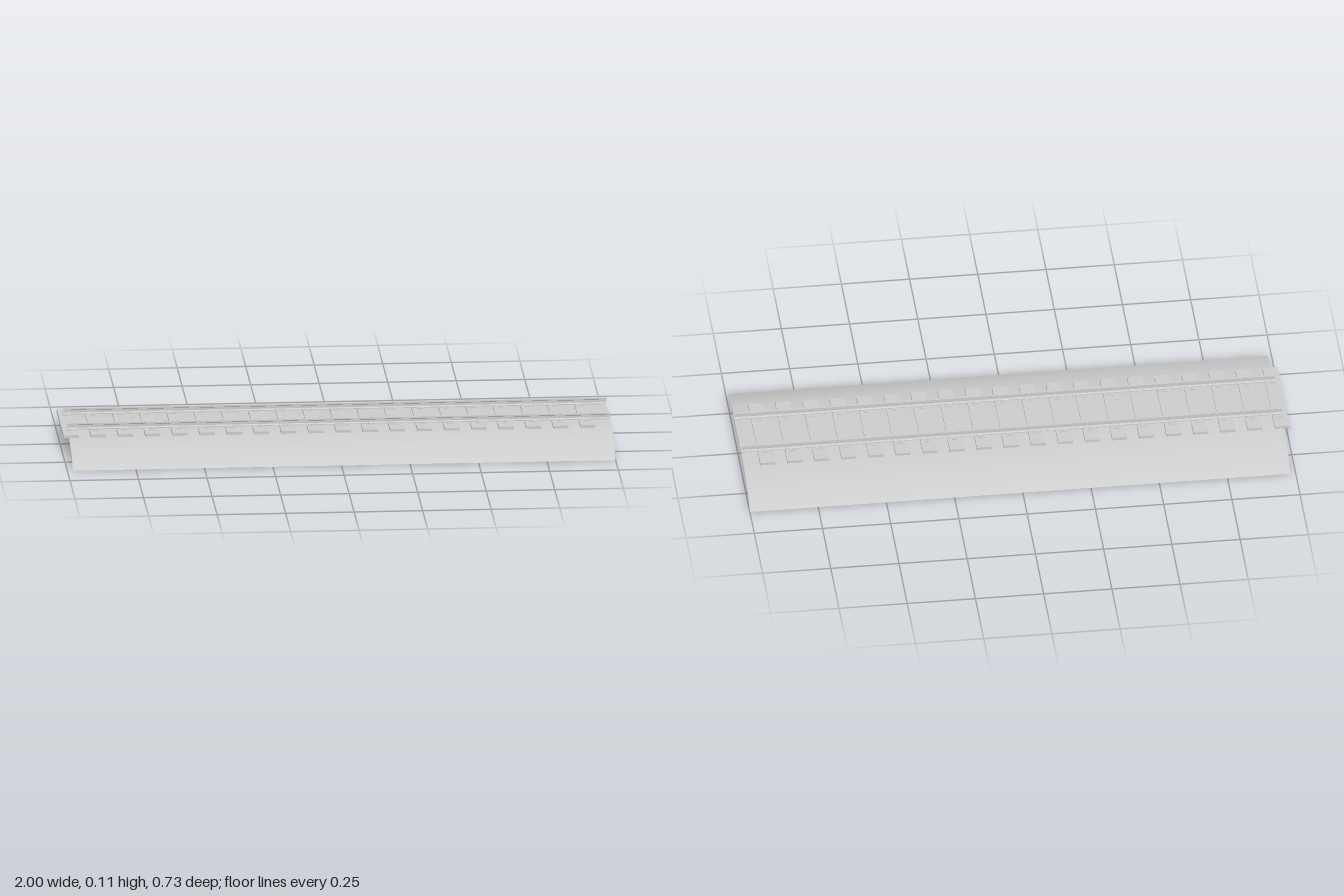
import * as THREE from 'three';

const material = new THREE.MeshStandardMaterial({ color: 0xcccccc, side: THREE.DoubleSide });
const X0 = -0.98, X1 = 1.0;
const SLEEPERS = 20, SLEEPER_WIDTH = 0.055, SLEEPER_TOP = 0.083;
const STEP = (1.94 - SLEEPER_WIDTH) / (SLEEPERS - 1);
const RAIL_Z = 0.1025;

// Sweeps a [z, y] profile along x, leaving both ends open
function sweep(profile, smooth) {
  const positions = [], index = [];
  profile.forEach(([z, y], i) => {
    positions.push(X0, y, z, X1, y, z);
    if (i < profile.length - 1) {
      const a = i * 2;
      index.push(a, a + 1, a + 3, a, a + 3, a + 2);
    }
  });
  let geometry = new THREE.BufferGeometry();
  geometry.setAttribute('position', new THREE.Float32BufferAttribute(positions, 3));
  geometry.setIndex(index);
  if (!smooth) geometry = geometry.toNonIndexed();
  geometry.computeVertexNormals();
  return geometry;
}

function addMesh(parent, name, geometry, x = 0, y = 0, z = 0) {
  const mesh = new THREE.Mesh(geometry, material);
  mesh.name = name;
  mesh.position.set(x, y, z);
  parent.add(mesh);
  return mesh;
}

export function createModel() {
  const track = new THREE.Group();
  track.name = 'railwayTrack';

  // Ballast bed: a thin rounded embankment sheet
  const half = [[0.367, 0], [0.308, 0.045], [0.19, 0.072], [0.06, 0.077]];
  const bed = [...half, ...half.map(([z, y]) => [-z, y]).reverse()];
  addMesh(track, 'ballastBed', sweep(bed, true));

  // Rails: foot, web and head
  const side = [[0.009, 0.084], [0.009, 0.087], [0.002, 0.09], [0.002, 0.099], [0.005, 0.101], [0.005, 0.106]];
  const section = [...side, ...side.map(([z, y]) => [-z, y]).reverse(), side[0]];
  const railGeometry = sweep(section, false);
  addMesh(track, 'leftRail', railGeometry, 0, 0, -RAIL_Z);
  addMesh(track, 'rightRail', railGeometry, 0, 0, RAIL_Z);

  // Sleepers, each with a clip plate and bolt on both sides of each rail
  const sleeperGeometry = new THREE.BoxGeometry(SLEEPER_WIDTH, 0.01, 0.368);
  const plateGeometry = new THREE.BoxGeometry(0.022, 0.003, 0.016);
  const boltGeometry = new THREE.CylinderGeometry(0.0025, 0.004, 0.006, 6);
  for (let i = 0; i < SLEEPERS; i++) {
    const unit = new THREE.Group();
    unit.name = 'sleeperUnit';
    unit.position.x = -1 + SLEEPER_WIDTH / 2 + i * STEP;
    addMesh(unit, 'sleeper', sleeperGeometry, 0, SLEEPER_TOP - 0.005, 0);
    for (const rail of [-1, 1]) {
      for (const edge of [-1, 1]) {
        const z = rail * RAIL_Z + edge * 0.0145;
        addMesh(unit, 'clipPlate', plateGeometry, 0, SLEEPER_TOP + 0.0015, z);
        addMesh(unit, 'bolt', boltGeometry, 0, SLEEPER_TOP + 0.005, z);
      }
    }
    track.add(unit);
  }
  return track;
}
